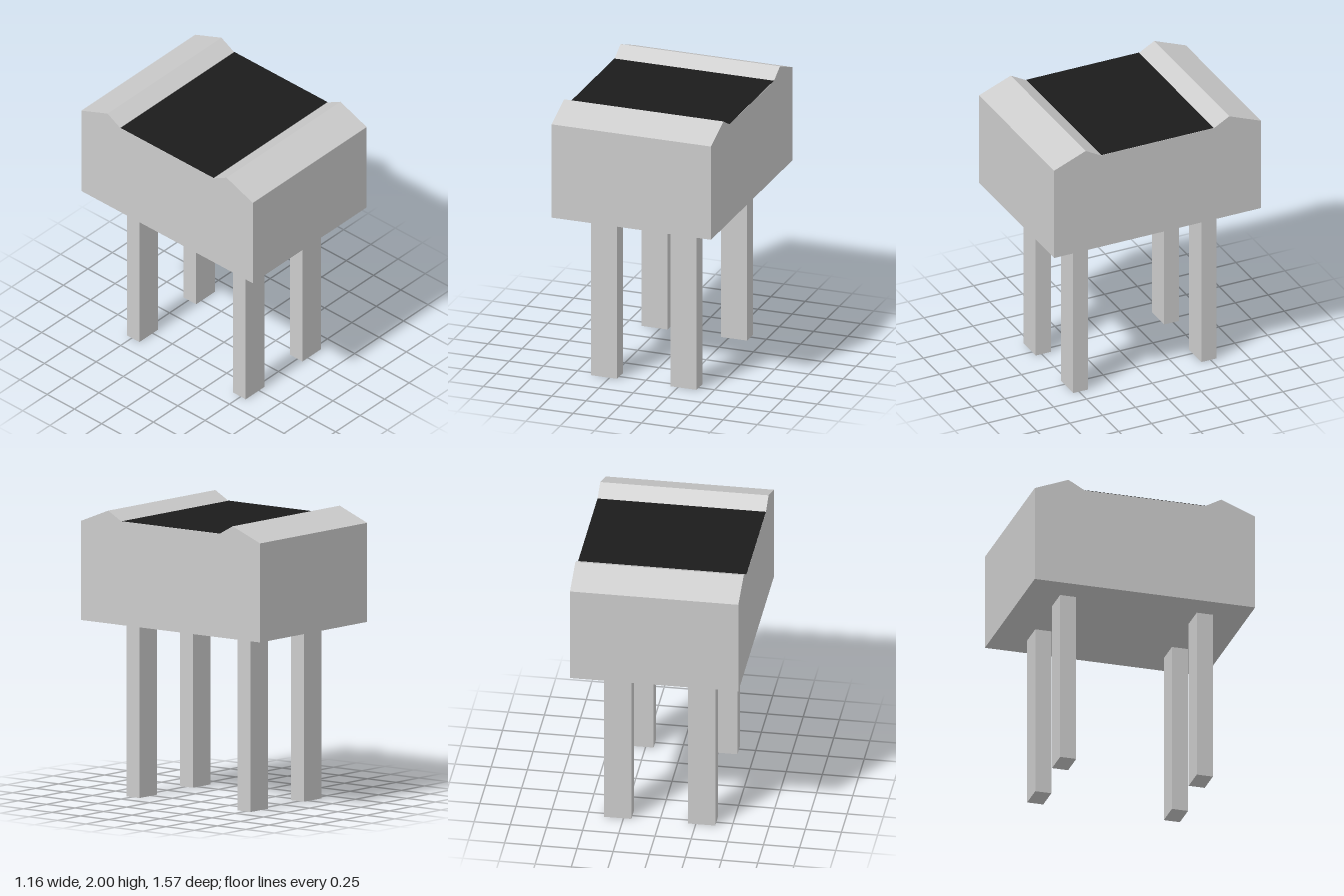
import * as THREE from 'three';

const WIDTH = 1.164, SEAT_BASE = 1.22, FLOOR = 1.936;

export function createModel() {
  const model = new THREE.Group();
  model.name = 'stool';
  const grey = new THREE.MeshStandardMaterial({ color: 0xcccccc, flatShading: true });
  const black = new THREE.MeshStandardMaterial({ color: 0x1b1b1b, side: THREE.DoubleSide });

  const add = (name, geometry, material, x = 0, y = 0, z = 0) => {
    const mesh = new THREE.Mesh(geometry, material);
    mesh.name = name;
    mesh.position.set(x, y, z);
    model.add(mesh);
  };

  // Seat block: side profile with a ridge at the front and back, swept across the width
  const half = [[0.787, SEAT_BASE], [0.787, 1.905], [0.546, 2], [0.43, FLOOR]];
  const mirrored = half.map(([z, y]) => [-z, y]).reverse();
  const profile = new THREE.Shape([...half, ...mirrored].map(([z, y]) => new THREE.Vector2(z, y)));
  const seat = new THREE.ExtrudeGeometry(profile, { depth: WIDTH, bevelEnabled: false });
  seat.translate(0, 0, -WIDTH / 2).rotateY(Math.PI / 2);
  add('seatBlock', seat, grey);

  // Dark pad flush with the floor between the ridges
  add('seatPad', new THREE.PlaneGeometry(WIDTH, 0.856).rotateX(-Math.PI / 2), black, 0, FLOOR + 0.002, 0);

  // Four rectangular legs
  const leg = new THREE.BoxGeometry(0.19, SEAT_BASE, 0.115);
  for (const [sx, side] of [[1, 'Left'], [-1, 'Right']]) {
    for (const [sz, end] of [[1, 'front'], [-1, 'back']]) {
      add(`${end}${side}Leg`, leg, grey, sx * 0.29, SEAT_BASE / 2, sz * 0.488);
    }
  }
  return model;
}
